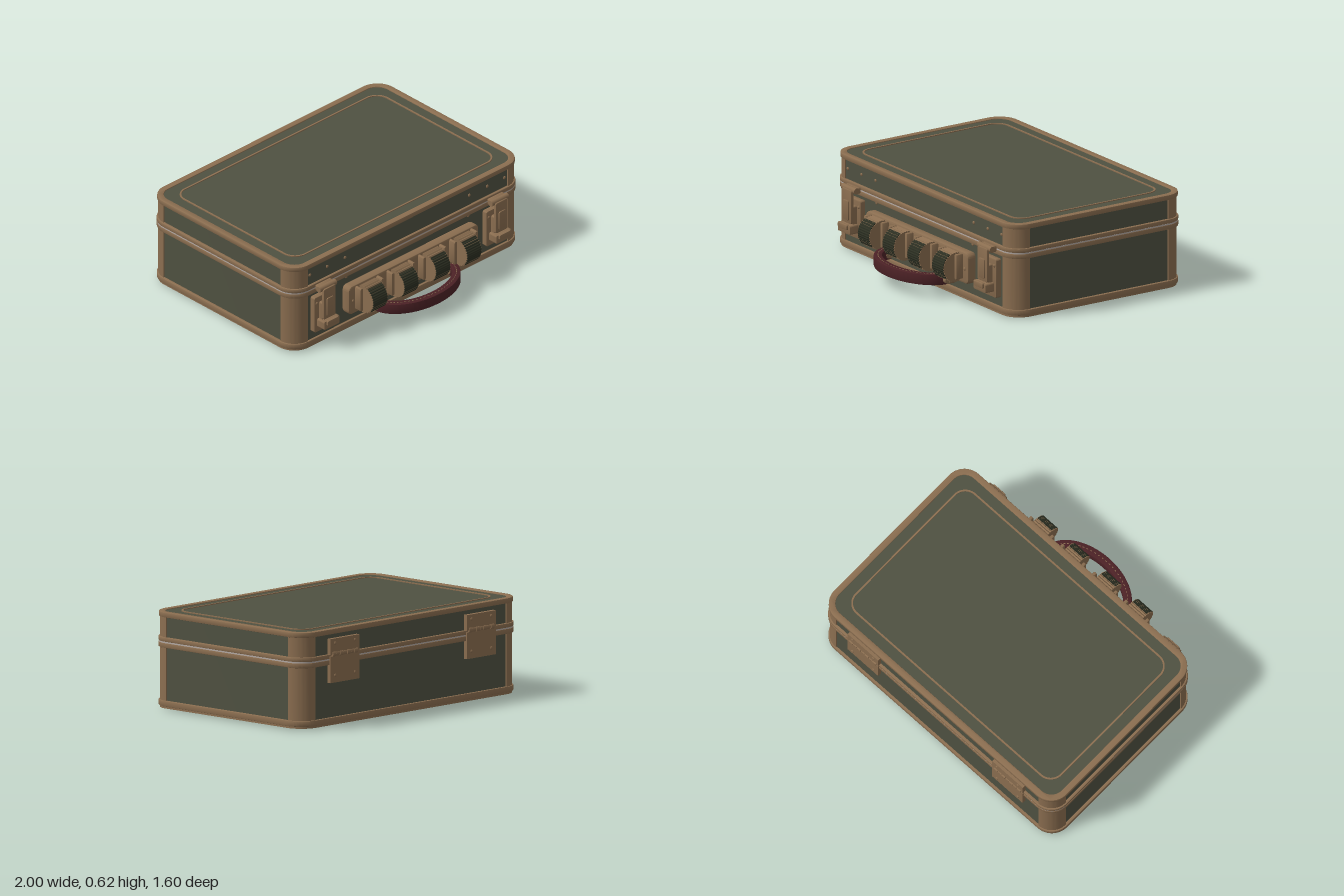
import * as THREE from 'three';
import { toCreasedNormals } from 'three/addons/utils/BufferGeometryUtils.js';

const mat = (name, color, side = THREE.FrontSide) => {
  const m = new THREE.MeshStandardMaterial({ color, side });
  m.name = name;
  return m;
};

// Rounded rectangle centred on the origin, as a Shape or a hole Path
function roundRect(w, h, r, Type = THREE.Shape) {
  const x = w / 2, y = h / 2, s = new Type(), q = Math.PI / 2;
  s.moveTo(x, -y + r);
  s.absarc(x - r, y - r, r, 0, q);
  s.absarc(-x + r, y - r, r, q, 2 * q);
  s.absarc(-x + r, -y + r, r, 2 * q, 3 * q);
  s.absarc(x - r, -y + r, r, 3 * q, 4 * q);
  return s;
}

function extrude(shape, depth, bevel = 0) {
  const g = new THREE.ExtrudeGeometry(shape, {
    depth: depth - 2 * bevel, curveSegments: 10, bevelEnabled: bevel > 0,
    bevelSize: bevel, bevelOffset: -bevel, bevelThickness: bevel, bevelSegments: 2,
  });
  g.translate(0, 0, bevel);
  return toCreasedNormals(g, 0.6);
}

export function createModel() {
  const tan = mat('tan metal', 0x8b6e50);
  const green = mat('olive cloth', 0x4f5141);
  const red = mat('oxblood leather', 0x4b2125);
  const dark = mat('dark dial face', 0x2c2f22);
  const silver = mat('silver seam', 0xb3a9a3);
  const model = new THREE.Group();
  const CZ = -0.128; // middle of the case in depth

  function add(name, geo, material, x = 0, y = 0, z = 0, parent = model) {
    const m = new THREE.Mesh(geo, material);
    m.name = name;
    m.position.set(x, y, z);
    parent.add(m);
    return m;
  }
  const box = (name, w, h, d, material, x, y, z, parent) =>
    add(name, new THREE.BoxGeometry(w, h, d), material, x, y, z, parent);
  const plate = (name, w, h, d, r, bevel, material, x, y, z, parent) =>
    add(name, extrude(roundRect(w, h, r), d, bevel), material, x, y, z, parent);
  const rod = (name, r, len, material, x, y, z, parent) =>
    add(name, new THREE.CylinderGeometry(r, r, len, 16).rotateZ(Math.PI / 2), material, x, y, z, parent);
  const screw = (x, y, z, parent) =>
    add('screw', new THREE.SphereGeometry(0.011, 10, 6).scale(1, 1, 0.6), tan, x, y, z, parent);

  // Horizontal slab or ring following the case outline
  function ring(name, hx, hz, r, y0, y1, width, material, bevel = 0) {
    const s = roundRect(hx * 2, hz * 2, r);
    if (width) s.holes.push(roundRect((hx - width) * 2, (hz - width) * 2, Math.max(r - width, 0.01), THREE.Path));
    add(name, extrude(s, y1 - y0, bevel).rotateX(-Math.PI / 2), material, 0, y0, CZ);
  }

  // Case shell and trim
  ring('caseBody', 0.982, 0.642, 0.115, 0.01, 0.614, 0, green);
  ring('bottomLip', 0.992, 0.65, 0.125, 0.009, 0.03, 0.02, tan);
  ring('bottomBand', 1.0, 0.657, 0.13, 0.022, 0.058, 0.03, tan, 0.004);
  ring('lowerSeamBand', 1.0, 0.659, 0.13, 0.394, 0.426, 0.03, tan, 0.005);
  ring('seamLine', 0.998, 0.656, 0.128, 0.425, 0.434, 0.03, silver);
  ring('upperSeamBand', 1.0, 0.659, 0.13, 0.433, 0.461, 0.03, tan, 0.005);
  ring('topBand', 0.997, 0.657, 0.13, 0.587, 0.62, 0.042, tan, 0.005);
  ring('lidPiping', 0.886, 0.548, 0.095, 0.61, 0.62, 0.011, tan);

  // Metal sleeves on the four vertical corners
  const R = 0.122, cap = new THREE.Shape();
  cap.moveTo(R, 0);
  cap.absarc(0, 0, R, 0, Math.PI / 2, false);
  cap.lineTo(0, R - 0.02);
  cap.absarc(0, 0, R - 0.02, Math.PI / 2, 0, true);
  cap.closePath();
  [[1, -1], [-1, -1], [-1, 1], [1, 1]].forEach(([sx, sz], i) => {
    for (const [y0, y1] of [[0.05, 0.4], [0.455, 0.59]]) {
      const g = extrude(cap, y1 - y0).rotateX(-Math.PI / 2).rotateY(i * Math.PI / 2);
      add('cornerSleeve', g, tan, sx * (0.99 - R), y0, CZ + sz * (0.65 - R));
    }
  });

  // Feet
  for (const x of [-0.717, 0.717]) for (const z of [0.322, -0.578])
    box('foot', 0.135, 0.014, 0.095, red, x, 0.007, z);

  // Combination lock plate
  plate('lockPlate', 1.13, 0.205, 0.065, 0.035, 0.014, tan, 0, 0.238, 0.512);
  for (const x of [-0.53, 0.53]) screw(x, 0.235, 0.578);

  // Knurled dials, each with a dark face wrapped round the front
  const knurl = new THREE.Shape();
  const N = 72;
  for (let i = 0; i < N; i++) {
    const a = i / N * Math.PI * 2, r = i % 2 ? 0.092 : 0.098;
    knurl[i ? 'lineTo' : 'moveTo'](r * Math.cos(a), r * Math.sin(a));
  }
  const face = new THREE.Shape();
  const a0 = -0.75, a1 = 1.1, steps = 24;
  for (let i = 0; i <= steps; i++) {
    const a = a0 + (a1 - a0) * i / steps, r = i % 2 ? 0.097 : 0.1;
    face[i ? 'lineTo' : 'moveTo'](r * Math.cos(a), r * Math.sin(a));
  }
  face.absarc(0, 0, 0.091, a1, a0, true);
  const sideways = (shape, w) => extrude(shape, w).translate(0, 0, -w / 2).rotateY(-Math.PI / 2);
  for (const x of [-0.408, -0.137, 0.137, 0.408]) {
    const dial = new THREE.Group();
    dial.name = 'dial';
    dial.position.set(x, 0.236, 0.602);
    model.add(dial);
    add('dialWheel', sideways(knurl, 0.128), tan, 0, 0, 0, dial);
    add('dialFace', sideways(face, 0.12), dark, 0, 0, 0, dial);
    for (const s of [-1, 1])
      plate('dialGuard', 0.024, 0.165, 0.055, 0.011, 0.004, tan, s * 0.091, 0.012, -0.03, dial);
  }

  // Curved leather handle with stitching and metal mounts
  const grip = new THREE.Shape();
  grip.moveTo(0.345, -0.01);
  grip.absellipse(0, 0, 0.345, 0.222, 0, Math.PI, false);
  grip.lineTo(-0.29, -0.01);
  grip.absellipse(0, 0, 0.29, 0.166, Math.PI, 0, true);
  grip.lineTo(0.29, -0.01);
  const handleGeo = new THREE.ExtrudeGeometry(grip, {
    depth: 0.058, curveSegments: 32, bevelThickness: 0.006, bevelSize: 0.005, bevelOffset: -0.005, bevelSegments: 2,
  });
  add('handle', toCreasedNormals(handleGeo.rotateX(Math.PI / 2), 0.7), red, 0, 0.151, 0.578);
  for (let i = 1; i < 34; i++) {
    const a = i / 34 * Math.PI;
    for (const y of [0.157, 0.087]) {
      const st = box('stitch', 0.012, 0.004, 0.004, tan, 0.318 * Math.cos(a), y, 0.578 + 0.194 * Math.sin(a));
      st.rotation.y = Math.atan2(-0.194 * Math.cos(a), -0.318 * Math.sin(a));
    }
  }
  for (const s of [-1, 1]) {
    plate('handleMount', 0.08, 0.1, 0.05, 0.015, 0.005, tan, s * 0.335, 0.145, 0.535);
    rod('handlePin', 0.024, 0.09, tan, s * 0.325, 0.12, 0.588);
  }

  for (const s of [-1, 1]) {
    // Front latch
    const latch = new THREE.Group();
    latch.name = 'latch';
    latch.position.x = s * 0.747;
    model.add(latch);
    plate('latchPlate', 0.18, 0.255, 0.04, 0.012, 0.005, tan, 0, 0.242, 0.51, latch);
    plate('latchHook', 0.13, 0.04, 0.03, 0.008, 0.003, tan, 0, 0.43, 0.53, latch);
    rod('latchKnuckle', 0.02, 0.145, tan, 0, 0.432, 0.566, latch);
    plate('latchArm', 0.105, 0.22, 0.02, 0.012, 0.004, tan, 0, 0.325, 0.575, latch);
    plate('latchArmRib', 0.06, 0.13, 0.01, 0.012, 0.003, tan, 0, 0.3, 0.592, latch);
    plate('latchBase', 0.1, 0.13, 0.04, 0.01, 0.004, tan, 0, 0.265, 0.54, latch);
    plate('latchLever', 0.135, 0.06, 0.075, 0.01, 0.005, tan, 0, 0.182, 0.54, latch);
    plate('latchLeverTip', 0.1, 0.035, 0.02, 0.01, 0.004, tan, 0, 0.198, 0.608, latch);
    for (const x of [-0.07, 0.07]) screw(x, 0.325, 0.55, latch);

    // Rivets on the lid front
    for (const x of [0.54, 0.695, 0.845]) screw(s * x, 0.53, 0.515);
    screw(s * 0.53, 0.385, 0.515);

    // Rear hinge
    const hinge = new THREE.Group();
    hinge.name = 'hinge';
    hinge.position.set(s * 0.62, 0, -0.79);
    model.add(hinge);
    box('hingeUpperLeaf', 0.262, 0.1, 0.025, tan, 0, 0.51, 0.007, hinge);
    box('hingeLowerLeaf', 0.262, 0.17, 0.025, tan, 0, 0.365, 0.007, hinge);
    for (let i = 0; i < 7; i++)
      rod('hingeKnuckle', i % 2 ? 0.018 : 0.02, 0.03, tan, (i - 3) * 0.033, 0.462, 0.009 - 0.002, hinge);
    for (const x of [-0.09, 0.09]) for (const y of [0.53, 0.325]) screw(x, y, -0.005, hinge);
  }
  return model;
}
